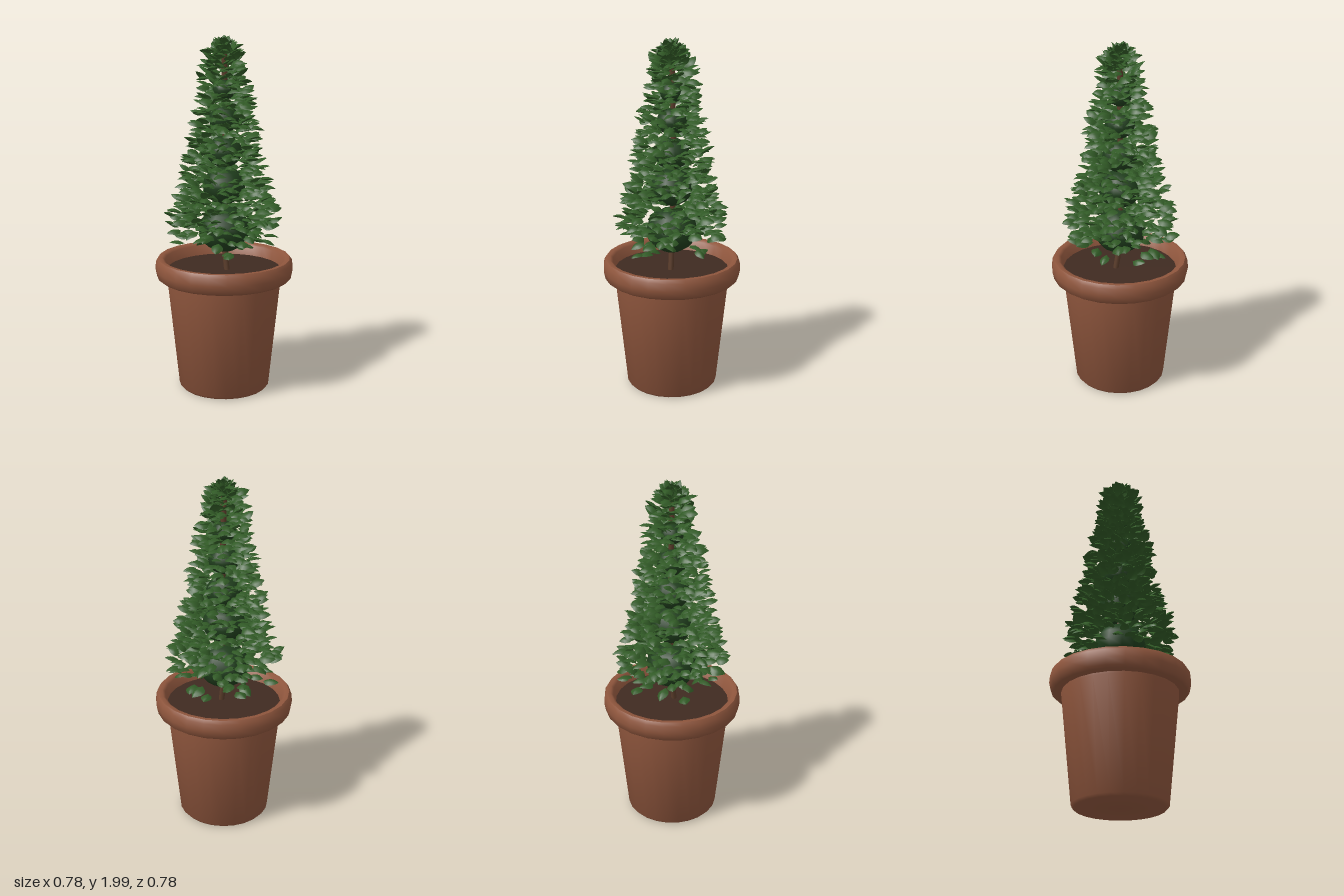
import * as THREE from 'three';
import { mergeGeometries, toCreasedNormals } from 'three/addons/utils/BufferGeometryUtils.js';

const material = (color, side = THREE.FrontSide) => new THREE.MeshStandardMaterial({ color, side });

function addMesh(group, name, geometry, mat) {
  const mesh = new THREE.Mesh(geometry, mat);
  mesh.name = name;
  group.add(mesh);
  return mesh;
}

function seeded(seed) {
  return () => {
    seed = (seed * 16807) % 2147483647;
    return seed / 2147483647;
  };
}

const lathe = (points, sides) =>
  toCreasedNormals(new THREE.LatheGeometry(points.map(([r, y]) => new THREE.Vector2(r, y)), sides), 0.9);

// Pointed oval blade along +z, arched across and along
function leafGeometry() {
  const geo = new THREE.PlaneGeometry(2, 1, 4, 5);
  const pos = geo.attributes.position;
  for (let i = 0; i < pos.count; i++) {
    const u = pos.getX(i), v = pos.getY(i) + 0.5;
    const half = 0.4 * Math.pow(Math.max(0, Math.sin(Math.PI * Math.pow(v, 0.8))), 0.85);
    const arch = 0.16 * Math.sin(Math.PI * v) - 0.5 * half * Math.abs(u) ** 1.5;
    pos.setXYZ(i, -u * half, arch, v);
  }
  geo.computeVertexNormals();
  return geo;
}

// Radius of the leaf tips at a given height
const outline = [[0.78, 0.3], [0.88, 0.325], [1.0, 0.325], [1.2, 0.265], [1.4, 0.225],
  [1.6, 0.19], [1.8, 0.15], [2.0, 0.12]];
function tipRadius(y) {
  for (let i = 1; i < outline.length; i++) {
    const [y0, r0] = outline[i - 1], [y1, r1] = outline[i];
    if (y <= y1) return THREE.MathUtils.lerp(r0, r1, (y - y0) / (y1 - y0));
  }
  return 0.12;
}

function foliage() {
  const rand = seeded(4711);
  const leaf = leafGeometry();
  const pieces = [];
  const dummy = new THREE.Object3D();
  dummy.rotation.order = 'YXZ';

  const place = (angle, radius, y, pitch, length) => {
    // the given radius and height mark the tip
    const base = radius - length * Math.cos(pitch);
    dummy.position.set(Math.sin(angle) * base, y - length * Math.sin(pitch), Math.cos(angle) * base);
    dummy.rotation.set(-pitch, angle + (rand() - 0.5) * 0.9, (rand() - 0.5) * 0.9);
    dummy.scale.set(length * (0.85 + rand() * 0.25), length, length);
    dummy.updateMatrix();
    pieces.push(leaf.clone().applyMatrix4(dummy.matrix));
  };

  // Sparse drooping leaves at the bottom
  for (let i = 0; i < 75; i++) {
    const y = 0.78 + 0.2 * Math.sqrt(rand());
    place(i * 2.39996, tipRadius(y) * (1.06 - 0.4 * rand()), y, -0.5 + rand() * 0.7, 0.07 + rand() * 0.025);
  }
  // Dense tapering body
  const count = 700;
  for (let i = 0; i < count; i++) {
    const t = 1 - Math.sqrt(1 - 0.86 * (i / count));
    const y = 0.97 + t * 1.55;
    const depth = 1.06 - 0.5 * rand() ** 1.5;
    const pitch = -0.25 + rand() * 0.75 + Math.max(0, y - 1.7) * 1.2;
    place(i * 2.39996, tipRadius(y) * depth, y + (rand() - 0.5) * 0.04, pitch, 0.07 + rand() * 0.025);
  }
  // Upright tuft at the tip
  for (let i = 0; i < 45; i++) {
    const f = i / 45;
    place(i * 2.39996, 0.02 + 0.1 * f, 1.995 - 0.1 * f * f - 0.02 * rand(), 1.25 - 0.85 * f, 0.075);
  }
  return mergeGeometries(pieces);
}

export function createModel() {
  const group = new THREE.Group();
  const clay = material(0x8f563d);
  const green = material(0x315a26, THREE.DoubleSide);
  const core = material(0x1f3d1c);
  const bark = material(0x5a3c2a);

  // Tapered pot body
  addMesh(group, 'pot', lathe([[0, 0], [0.245, 0], [0.258, 0.015], [0.322, 0.63], [0.322, 0.66]], 24), clay);

  // Thick rounded rim with a sloping inner wall
  addMesh(group, 'potRim', lathe([[0.31, 0.64], [0.365, 0.64], [0.38, 0.652], [0.389, 0.695],
    [0.385, 0.738], [0.372, 0.757], [0.35, 0.757], [0.335, 0.745], [0.315, 0.66]], 24), clay);

  // Soil disc
  const soil = addMesh(group, 'soil', new THREE.CircleGeometry(0.325, 24), material(0x3f2a21));
  soil.rotation.x = -Math.PI / 2;
  soil.position.y = 0.69;

  // Thin, slightly bent trunk
  const path = new THREE.CatmullRomCurve3([[0.015, 0.68, 0.02], [0, 0.85, 0], [0.008, 1.3, -0.005], [0, 1.9, 0]]
    .map((p) => new THREE.Vector3(...p)));
  addMesh(group, 'trunk', new THREE.TubeGeometry(path, 16, 0.016, 8), bark);

  // Dark inner foliage masses stacked along the trunk
  [[0.92, 0.145], [1.17, 0.12], [1.36, 0.1], [1.54, 0.085], [1.7, 0.065]].forEach(([y, r], i) => {
    const mass = addMesh(group, `innerFoliage${i + 1}`, new THREE.SphereGeometry(r, 12, 8), core);
    mass.position.y = y;
    mass.scale.y = 0.88;
  });

  addMesh(group, 'leaves', foliage(), green);
  return group;
}
